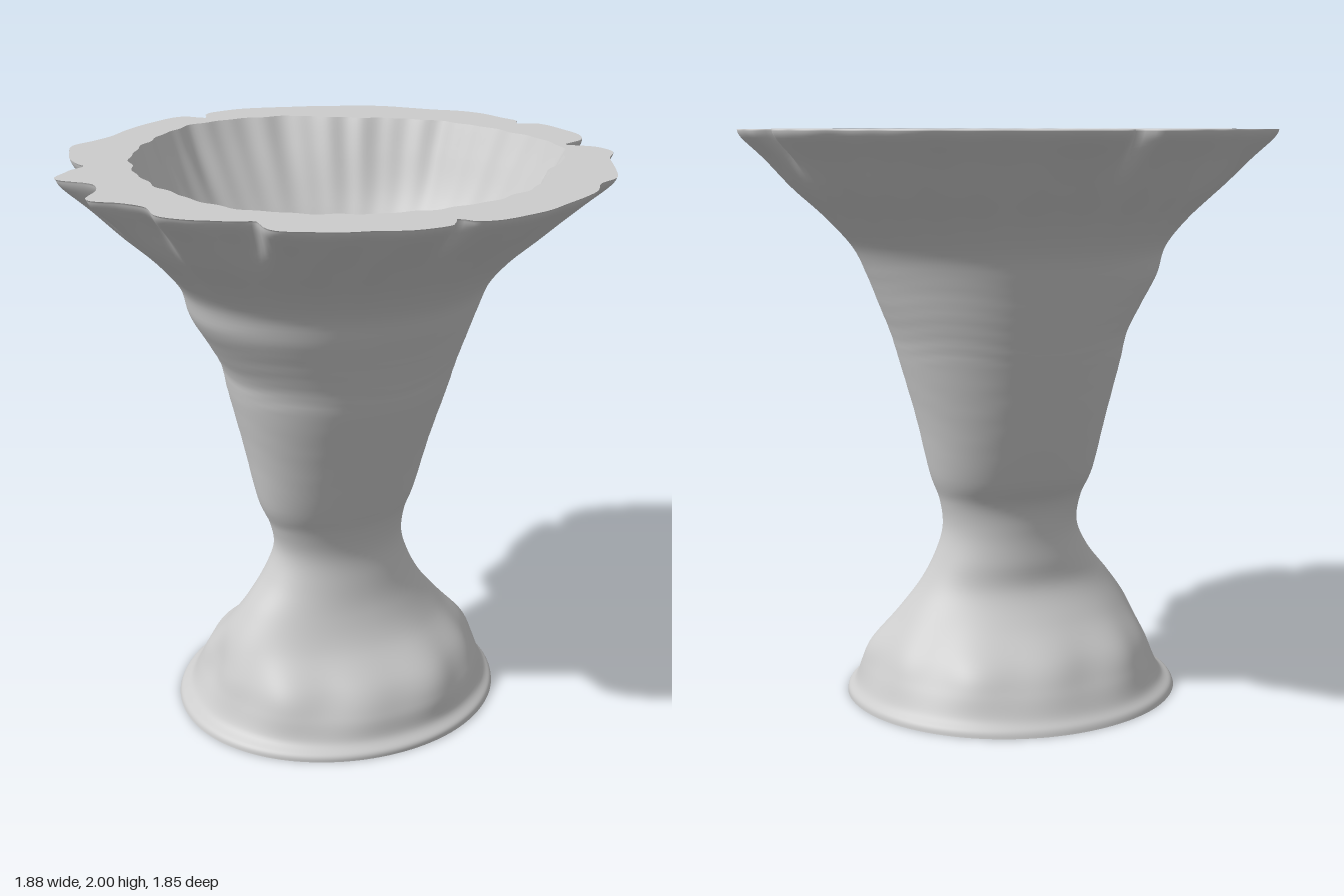
import * as THREE from 'three';

const SEG = 300;
const material = new THREE.MeshStandardMaterial({ color: 0xcccccc });

// Rows: height, reach to -x, +x, -z, +z
const OUTER = [
  [0, .61, .59, .57, .54], [.02, .60, .585, .56, .535], [.05, .56, .56, .53, .50],
  [.12, .525, .53, .49, .475], [.2, .495, .49, .43, .42], [.3, .45, .41, .31, .30],
  [.4, .38, .33, .225, .23], [.5, .30, .275, .205, .19], [.6, .255, .245, .19, .165],
  [.7, .27, .255, .195, .175], [.8, .31, .29, .25, .21], [1, .35, .335, .33, .28],
  [1.2, .395, .39, .40, .355], [1.3, .415, .42, .435, .385], [1.4, .47, .46, .47, .42],
  [1.5, .53, .50, .505, .46], [1.6, .56, .55, .545, .50], [1.7, .64, .64, .62, .58],
  [1.8, .745, .745, .72, .69], [1.9, .83, .83, .82, .81], [1.97, .895, .90, .90, .89],
  [2, .91, .915, .92, .91],
];
const INNER = [
  [2, .69, .75, .76, .73], [1.9, .66, .70, .70, .67], [1.75, .60, .62, .60, .57],
  [1.55, .48, .48, .46, .43], [1.36, .40, .41, .38, .35], [1.22, .34, .35, .29, .27],
  [1.12, .28, .28, .20, .19], [1.05, .22, .22, .14, .14], [1.02, .12, .12, .07, .07], [1.02, 0, 0, 0, 0],
];

// Radii at even angles from +x towards +z: ragged lip and mouth of the cavity
const LIP = [
  .93, .93, .90, .90, .93, .90, .90, .91, .92, .89, .91, .91, .91, .92, .92,
  .92, .90, .92, .93, .92, .93, .93, .93, .87, .88, .91, .92, .87, .89, .95,
  .87, .86, .95, .90, .87, .90, .92, .94, .90, .88, .89, .90, .91, .92, .91,
  .92, .93, .92, .91, .91, .91, .92, .92, .91, .91, .93, .93, .91, .91, .93,
];
const MOUTH = [
  .75, .78, .75, .70, .72, .73, .73, .73, .73, .73, .73, .70,
  .69, .69, .70, .71, .735, .77, .76, .74, .69, .695, .72, .73,
];
// Narrow notches in the lip: angle in degrees, depth, width
const NOTCHES = [[15, .09, 2.5], [97, .05, 1.5], [137, .03, 2], [202, .03, 2], [264, .07, 2], [349, .05, 1.5]];

const { smoothstep, radToDeg } = THREE.MathUtils;
const bump = (v, mid, width) => Math.exp(-(((v - mid) / width) ** 2));

// Smooth curve through four neighbouring values
const spline = (a, b, d, e, u) =>
  b + .5 * u * (d - a + u * (2 * a - 5 * b + 4 * d - e + u * (3 * (b - d) + e - a)));

// Profile row at parameter t in 0..1
function sampleRow(rows, t) {
  const f = t * (rows.length - 1), i = Math.min(Math.floor(f), rows.length - 2);
  const at = k => rows[Math.max(0, Math.min(rows.length - 1, k))];
  return rows[0].map((_, c) => spline(at(i - 1)[c], at(i)[c], at(i + 1)[c], at(i + 2)[c], f - i));
}

// Radius from a closed table at an angle
function sampleRing(ring, a) {
  const n = ring.length, f = a / (2 * Math.PI) * n, i = Math.floor(f);
  return spline(ring[(i + n - 1) % n], ring[i % n], ring[(i + 1) % n], ring[(i + 2) % n], f - i);
}

// Oval with its own reach on each of the four sides
function oval([y, xn, xp, zn, zp], a, scale) {
  const c = Math.cos(a), s = Math.sin(a);
  return [c * (c < 0 ? xn : xp) * scale, y, s * (s < 0 ? zn : zp) * scale];
}

// Moves a point part of the way towards a target radius
function pull([x, y, z], ratio, amount) {
  const s = 1 + amount * (ratio - 1);
  return [x * s, y, z * s];
}

// Closed rings joined into a surface; point(t, angle) gives each vertex
function loft(name, steps, point) {
  const pos = [], index = [];
  for (let j = 0; j <= steps; j++)
    for (let i = 0; i < SEG; i++) pos.push(...point(j / steps, i / SEG * 2 * Math.PI));
  for (let j = 0; j < steps; j++)
    for (let i = 0; i < SEG; i++) {
      const p = j * SEG + i, q = j * SEG + (i + 1) % SEG;
      index.push(p, p + SEG, q, q, p + SEG, q + SEG);
    }
  const geo = new THREE.BufferGeometry();
  geo.setAttribute('position', new THREE.Float32BufferAttribute(pos, 3));
  geo.setIndex(index);
  geo.computeVertexNormals();
  const mesh = new THREE.Mesh(geo, material);
  mesh.name = name;
  return mesh;
}

// Outer wall: lumpy foot, terraced bowl, fluted and ragged towards the lip
function outerPoint(t, a) {
  const row = sampleRow(OUTER, t), y = row[0];
  const diagonal = (1 - Math.cos(4 * a)) / 2;
  let k = 1 - diagonal * (.025 * bump(y, 1.6, .22) + .015 * bump(y, .27, .1));
  k += bump(y, .18, .09) * (.016 * Math.sin(5 * a + 1) + .014 * Math.sin(11 * a));
  k += .0015 * Math.sin(120 * y + 2 * Math.cos(4 * a)) * bump(y, 1.1, .35);
  k += .006 * Math.sin(31 * a + 3 * Math.sin(2 * a)) * bump(y, 1.85, .12);
  const p = oval(row, a, k);
  let notch = 0;
  for (const [deg, depth, width] of NOTCHES) notch += depth * bump(radToDeg(a), deg, width);
  const lip = sampleRing(LIP, a) - notch * smoothstep(y, 1.82, 2);
  const ratio = y > 1.999 ? lip / Math.hypot(p[0], p[2]) : lip / .912;
  return pull(p, ratio, smoothstep(y, 1.55, 2) ** 2);
}

// Inner wall: uneven mouth, running down to a small oval floor
function innerPoint(t, a) {
  const row = sampleRow(INNER, t), p = oval(row, a, 1);
  const top = oval(INNER[0], a, 1);
  const mouth = sampleRing(MOUTH, a) + .004 * Math.sin(23 * a) + .004 * Math.sin(37 * a + 1);
  return pull(p, mouth / Math.hypot(top[0], top[2]), smoothstep(row[0], 1.5, 2));
}

export function createModel() {
  const group = new THREE.Group();
  group.name = 'gobletVase';
  group.add(loft('outerWall', 130, outerPoint));
  group.add(loft('innerWall', 60, innerPoint));

  // Flat ring between the two walls
  group.add(loft('rimTop', 3, (t, a) => {
    const o = outerPoint(1, a), i = innerPoint(0, a);
    return o.map((v, c) => v + (i[c] - v) * t);
  }));

  // Flat underside
  group.add(loft('footBase', 1, (t, a) => {
    const o = outerPoint(0, a);
    return [o[0] * t, 0, o[2] * t];
  }));
  return group;
}
